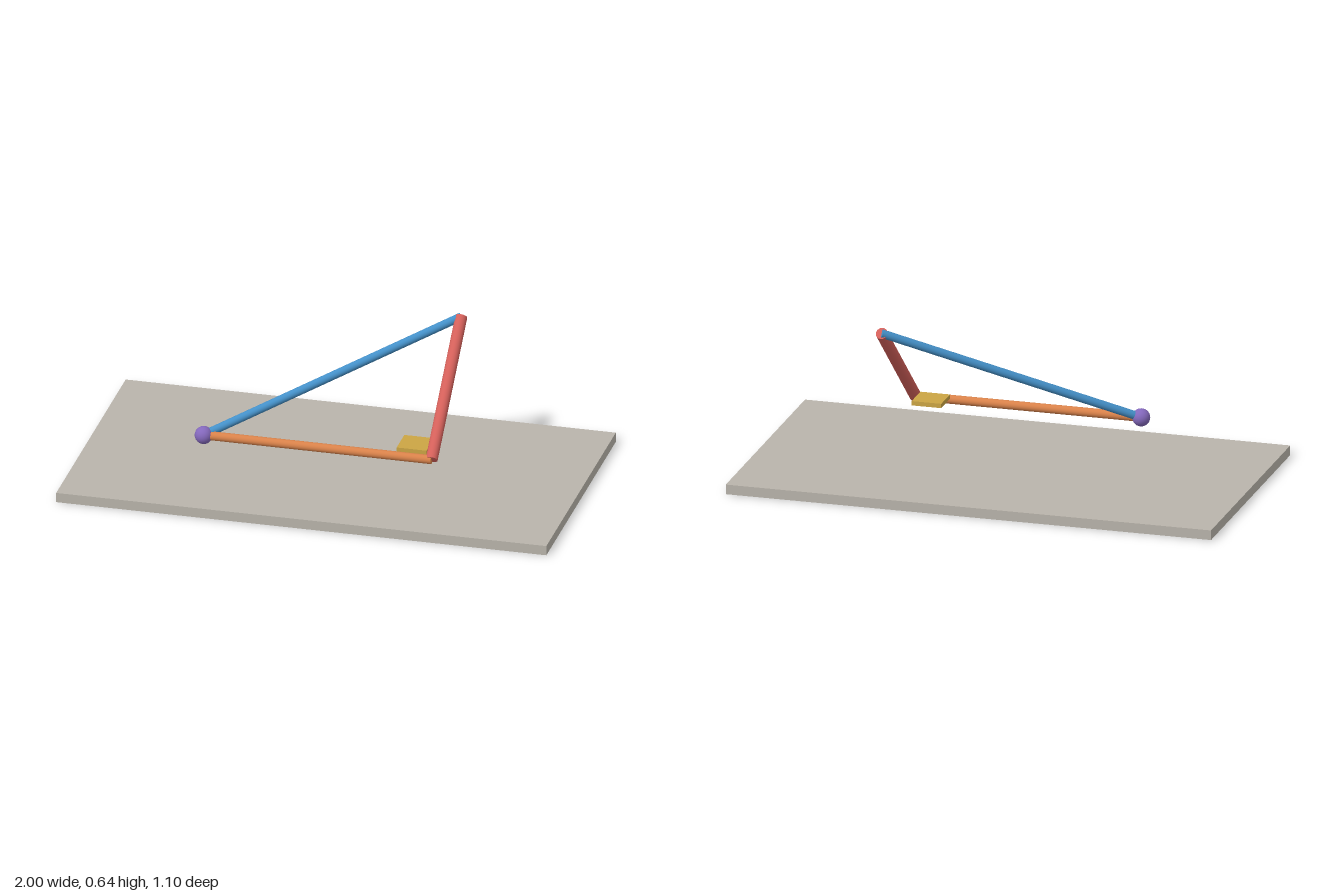
import * as THREE from 'three';

const paint = (name, color) => {
  const m = new THREE.MeshStandardMaterial({ color });
  m.name = name;
  return m;
};

export function createModel() {
  const model = new THREE.Group();
  const add = (name, geometry, material, position) => {
    const mesh = new THREE.Mesh(geometry, material);
    mesh.name = name;
    mesh.position.copy(position);
    model.add(mesh);
    return mesh;
  };

  // Corners of the tilted right triangle
  const pivot = new THREE.Vector3(-0.48, 0.21, 0.232);
  const corner = new THREE.Vector3(0.45, 0.21, 0.232);
  const apex = new THREE.Vector3(0.45, 0.622, -0.238);

  // Straight round bar between two points
  const rod = (name, a, b, radius, material) => {
    const dir = b.clone().sub(a);
    const mesh = add(name, new THREE.CylinderGeometry(radius, radius, dir.length(), 24),
      material, a.clone().lerp(b, 0.5));
    mesh.quaternion.setFromUnitVectors(new THREE.Vector3(0, 1, 0), dir.normalize());
  };

  // Ground slab
  add('baseSlab', new THREE.BoxGeometry(2, 0.04, 1.1),
    paint('warm grey', 0xb9b4ab), new THREE.Vector3(0, 0.02, 0));

  // Triangle sides
  rod('adjacentRod', pivot, corner, 0.018, paint('orange', 0xd9824a));
  rod('oppositeRod', corner, apex, 0.024, paint('red', 0xd4605a));
  rod('hypotenuseRod', pivot, apex, 0.017, paint('blue', 0x4490c8));

  // Ball at the angle
  add('angleBall', new THREE.SphereGeometry(0.036, 24, 16), paint('purple', 0x8468bc), pivot);

  // Square plate marking the right angle
  add('rightAngleMarker', new THREE.BoxGeometry(0.122, 0.018, 0.122),
    paint('gold', 0xcba544), new THREE.Vector3(0.363, 0.228, 0.151));

  return model;
}
